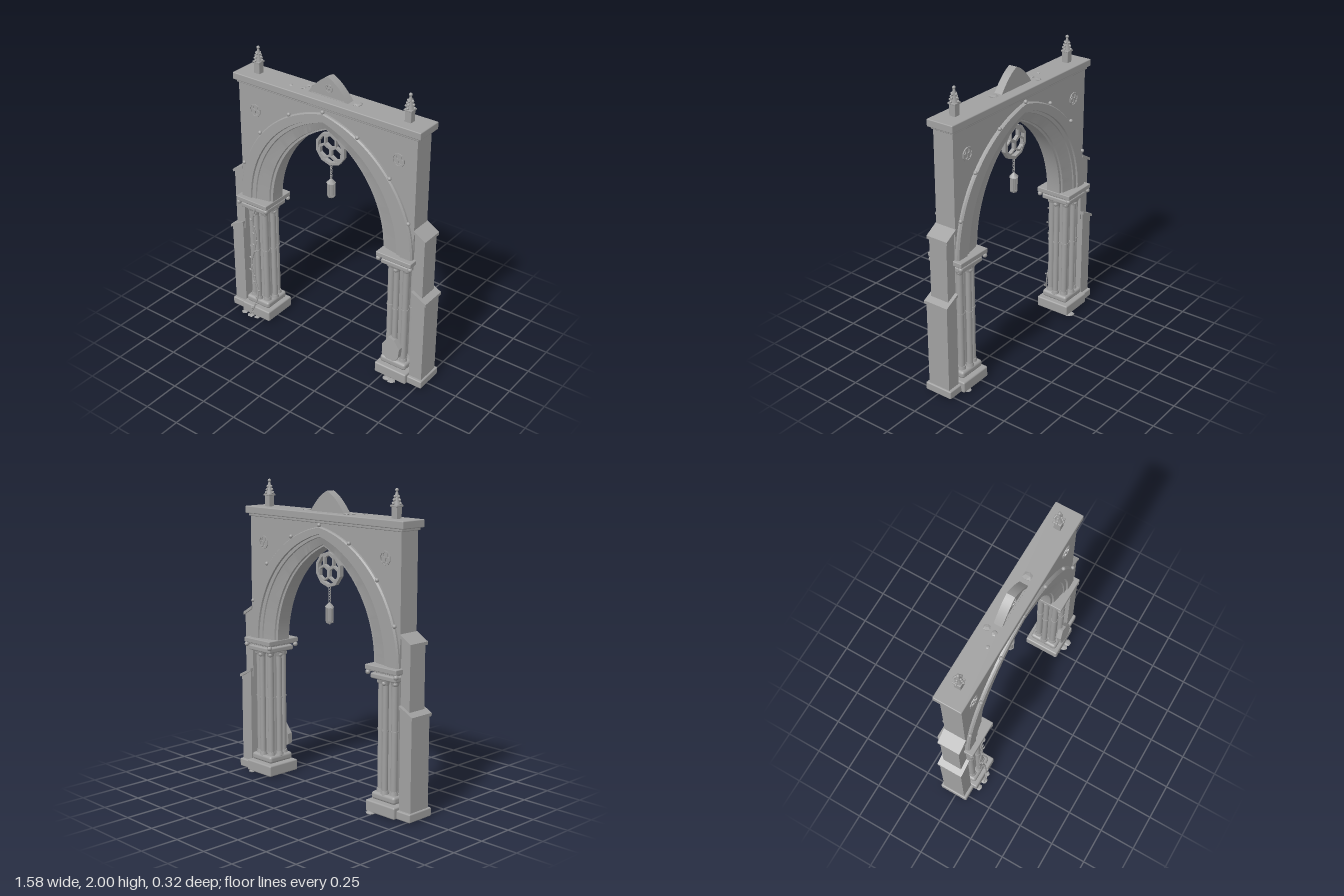
import * as THREE from 'three';
import { toCreasedNormals } from 'three/addons/utils/BufferGeometryUtils.js';
import { RoundedBoxGeometry } from 'three/addons/geometries/RoundedBoxGeometry.js';

const stone = new THREE.MeshStandardMaterial({ color: 0xa0a0a0 });
stone.name = 'stone grey';
const CZ = -0.013; // middle plane of the wall
const SPRING = 0.935; // springing height of the arch

function add(parent, name, geo, x = 0, y = 0, z = 0) {
  const m = new THREE.Mesh(geo, stone);
  m.name = name;
  m.position.set(x, y, z);
  parent.add(m);
  return m;
}
const box = (w, h, d, r = 0.006) => new RoundedBoxGeometry(w, h, d, 2, r);
const ball = (r) => new THREE.SphereGeometry(r, 12, 8);
const cyl = (rt, rb, h, n = 20) => new THREE.CylinderGeometry(rt, rb, h, n);

// Extrusion centred on z = 0
function slab(shape, depth, crease = 0.5) {
  const g = new THREE.ExtrudeGeometry(shape, { depth, bevelEnabled: false, curveSegments: 12 });
  return toCreasedNormals(g.translate(0, 0, -depth / 2), crease);
}

// Pointed arch point: half span a, rise h, s runs from -1 (left foot) to 1 (right foot)
function archPoint(a, h, s) {
  const R = (a * a + h * h) / (2 * a), c = a - R;
  const ang = (1 - Math.abs(s)) * Math.acos(-c / R);
  return new THREE.Vector2(Math.sign(s) * (c + R * Math.cos(ang)), SPRING + R * Math.sin(ang));
}

// Moulded arch swept along both arcs, section given as [inward fraction, half depth]
function archGeometry() {
  const half = [[0, 0.085], [0.04, 0.095], [0.36, 0.095], [0.38, 0.084], [0.5, 0.084], [0.52, 0.077], [0.9, 0.06], [0.92, 0.05], [1, 0.05]];
  const section = [...half.map(([t, z]) => [t, z]), ...half.map(([t, z]) => [t, -z]).reverse()];
  const N = 28, M = section.length, pos = [], idx = [];
  for (let i = 0; i <= 2 * N; i++) {
    for (const [t, z] of section) {
      const p = archPoint(0.675 - 0.235 * t, 0.8 - 0.125 * t, i / N - 1);
      pos.push(p.x, p.y, z);
    }
  }
  for (let i = 0; i < 2 * N; i++) {
    for (let j = 0; j < M; j++) {
      const a = i * M + j, d = i * M + (j + 1) % M, b = a + M, c = d + M;
      idx.push(a, d, b, d, c, b);
    }
  }
  const g = new THREE.BufferGeometry();
  g.setAttribute('position', new THREE.Float32BufferAttribute(pos, 3));
  g.setIndex(idx);
  return toCreasedNormals(g, 0.3);
}

// Flat ring with n sides
function ring(R, r, depth, n, turn = 0) {
  const poly = (rad) => Array.from({ length: n }, (_, i) => {
    const a = turn + i * 2 * Math.PI / n;
    return new THREE.Vector2(rad * Math.cos(a), rad * Math.sin(a));
  });
  const s = new THREE.Shape(poly(R));
  s.holes.push(new THREE.Path(poly(r)));
  return slab(s, depth, 0.2);
}

// Round tracery of one outer ring and three hexagonal lobes
function rosette(name, R, depth) {
  const g = new THREE.Group();
  g.name = name;
  add(g, 'outerRing', ring(R, R * 0.83, depth, 10, Math.PI / 10));
  for (let k = 0; k < 3; k++) {
    const a = Math.PI / 2 + k * 2 * Math.PI / 3;
    add(g, 'lobe', ring(R * 0.48, R * 0.35, depth * 0.8, 6, Math.PI / 6), R * 0.45 * Math.cos(a), R * 0.45 * Math.sin(a));
  }
  return g;
}

function pier() {
  const g = new THREE.Group();
  g.name = 'pier';
  add(g, 'plinth', box(0.24, 0.076, 0.25, 0.01), 0, 0.048);
  add(g, 'baseTier', box(0.195, 0.05, 0.2, 0.018), 0, 0.115);
  add(g, 'core', cyl(0.055, 0.055, 0.72), 0, 0.5);
  for (let k = 0; k < 8; k++) {
    const a = k * Math.PI / 4, d = 0.078, r = k % 2 ? 0.021 : 0.019;
    const x = d * Math.cos(a), z = d * Math.sin(a);
    add(g, 'shaft', cyl(r, r, 0.72, 14), x, 0.49, z);
    add(g, 'shaftFoot', cyl(r + 0.003, r + 0.007, 0.022, 14), x, 0.15, z);
    add(g, 'shaftBand', cyl(r + 0.003, r + 0.003, 0.009, 14), x, 0.54, z);
    add(g, 'shaftCapital', cyl(r + 0.009, r, 0.035, 14), x, 0.842, z);
    add(g, 'leafBud', ball(0.016), x * 1.18, 0.838, z * 1.18);
  }
  add(g, 'capital', box(0.208, 0.034, 0.215, 0.009), 0, 0.874);
  add(g, 'impost', box(0.256, 0.032, 0.258, 0.005), 0, 0.928);
  add(g, 'impostNeck', box(0.235, 0.012, 0.238, 0.004), 0, 0.909);
  for (const sx of [-1, 1]) for (const sz of [-1, 1]) add(g, 'cornerBud', ball(0.016), sx * 0.115, 0.896, sz * 0.115);
  return g;
}

// Stepped side buttress for the +x side, mirrored by turning it about y
function buttress() {
  const g = new THREE.Group();
  g.name = 'buttress';
  const stage = (x0, x1, y0, yOut, yIn, d) =>
    slab(new THREE.Shape([[x0, y0], [x1, y0], [x1, yOut], [x0, yIn]].map((p) => new THREE.Vector2(...p))), d, 0.2);
  const cap = (x0, x1, yIn, yOut, d) => {
    const s = new THREE.Shape([[x0, yIn - 0.02], [x1, yOut - 0.02], [x1, yOut], [x0, yIn]].map((p) => new THREE.Vector2(...p)));
    return slab(s, d, 0.2);
  };
  add(g, 'foot', box(0.19, 0.055, 0.2, 0.008), 0.695, 0.038);
  add(g, 'lowerStage', stage(0.685, 0.778, 0.06, 0.66, 0.71, 0.16));
  add(g, 'lowerCap', cap(0.68, 0.788, 0.72, 0.665, 0.178));
  add(g, 'upperStage', stage(0.676, 0.748, 0.66, 1.09, 1.135, 0.132));
  add(g, 'upperCap', cap(0.67, 0.757, 1.152, 1.1, 0.155));
  return g;
}

function finial() {
  const g = new THREE.Group();
  g.name = 'finial';
  add(g, 'finialShaft', box(0.044, 0.08, 0.044, 0.003), 0, 1.855);
  add(g, 'finialCollar', box(0.056, 0.012, 0.056, 0.003), 0, 1.895);
  add(g, 'spire', cyl(0.006, 0.026, 0.08, 8), 0, 1.94);
  for (let row = 0; row < 3; row++) for (let k = 0; k < 4; k++) {
    const a = k * Math.PI / 2, d = 0.03 - row * 0.007;
    add(g, 'crocket', ball(0.008), d * Math.cos(a), 1.91 + row * 0.02, d * Math.sin(a));
  }
  add(g, 'finialBall', ball(0.011), 0, 1.988);
  return g;
}

export function createModel() {
  const model = new THREE.Group();
  model.name = 'gothicArchway';
  const body = new THREE.Group();
  body.name = 'archBody';
  body.position.z = CZ;
  model.add(body);

  // Spandrel wall cut by the pointed opening
  const wall = new THREE.Shape();
  wall.moveTo(-0.672, SPRING);
  for (let i = 0; i <= 48; i++) {
    const p = archPoint(0.61, 0.755, i / 24 - 1);
    wall.lineTo(p.x, p.y);
  }
  wall.lineTo(0.672, SPRING).lineTo(0.672, 1.765).lineTo(-0.672, 1.765);
  add(body, 'spandrelWall', slab(wall, 0.144));
  add(body, 'mouldedArch', archGeometry());
  add(body, 'corniceUnder', box(1.365, 0.022, 0.165, 0.005), 0, 1.766);
  add(body, 'cornice', box(1.405, 0.048, 0.19, 0.006), 0, 1.796);

  // Mirrored supports and finials
  for (const s of [-1, 1]) {
    const p = pier(), f = finial(), b = buttress();
    p.position.x = f.position.x = s * 0.565;
    b.rotation.y = s < 0 ? Math.PI : 0;
    body.add(p, f, b);
  }

  // Buds along the arch and spandrel rosettes on both faces
  for (const sz of [-1, 1]) {
    for (const s of [-0.77, -0.51, -0.24, 0.001, 0.24, 0.51, 0.77]) {
      const p = archPoint(0.682, 0.81, s);
      add(body, 'archBud', ball(0.013), p.x, p.y, sz * 0.09);
    }
    for (const sx of [-1, 1]) {
      const r = rosette('spandrelRosette', 0.045, 0.009);
      r.position.set(sx * 0.545, 1.59, sz * 0.074);
      body.add(r);
    }
  }

  // Small gable on top
  const gable = (k) => new THREE.Shape().moveTo(-0.15 * k, 0).quadraticCurveTo(-0.075 * k, 0.105 * k, 0, 0.135 * k)
    .quadraticCurveTo(0.075 * k, 0.105 * k, 0.15 * k, 0);
  add(body, 'gable', slab(gable(1), 0.045), 0, 1.818, 0);
  const rim = gable(1);
  rim.holes.push(new THREE.Path(gable(0.84).getPoints(12).map((p) => p.add(new THREE.Vector2(0, 0.004)))));
  add(body, 'gableRim', slab(rim, 0.012), 0, 1.818, 0.027);
  const badge = rosette('gableRosette', 0.028, 0.009);
  badge.position.set(0, 1.875, 0.025);
  body.add(badge);

  // Hanging rose, chain and lantern
  const rose = rosette('hangingRose', 0.113, 0.03);
  rose.position.set(0, 1.46, 0);
  body.add(rose);
  add(body, 'roseHanger', cyl(0.008, 0.008, 0.06, 8), 0, 1.59);
  for (let i = 0; i < 6; i++) {
    const link = add(body, 'chainLink', new THREE.TorusGeometry(0.008, 0.0025, 6, 12), 0, 1.342 - i * 0.0165);
    link.scale.y = 1.3;
    link.rotation.y = i % 2 ? Math.PI / 2 : 0;
  }
  add(body, 'lanternRoof', cyl(0.006, 0.032, 0.028, 6), 0, 1.234);
  add(body, 'lanternGlass', cyl(0.022, 0.022, 0.085, 6), 0, 1.17);
  add(body, 'lanternFloor', cyl(0.027, 0.024, 0.012, 6), 0, 1.124);
  add(body, 'lanternDrop', ball(0.007), 0, 1.113);
  for (let k = 0; k < 6; k++) {
    const a = k * Math.PI / 3;
    add(body, 'lanternBar', cyl(0.003, 0.003, 0.09, 6), 0.024 * Math.sin(a), 1.173, 0.024 * Math.cos(a));
  }

  // Climbing vine with leaves on the front of the right pier
  const vine = new THREE.CatmullRomCurve3([[-0.61, 0.01, 0.125], [-0.57, 0.09, 0.12], [-0.545, 0.2, 0.1], [-0.58, 0.33, 0.095],
    [-0.6, 0.42, 0.095], [-0.565, 0.56, 0.095], [-0.55, 0.66, 0.095], [-0.57, 0.78, 0.1], [-0.535, 0.89, 0.11]]
    .map((p) => new THREE.Vector3(...p)));
  add(model, 'vineStem', new THREE.TubeGeometry(vine, 60, 0.0055, 6));
  for (let i = 1; i < 18; i++) {
    const p = vine.getPoint(i / 18);
    const leaf = add(model, 'vineLeaf', ball(0.011), p.x + (i % 2 ? 0.012 : -0.012), p.y, p.z + 0.006);
    leaf.scale.set(1, 0.6, 0.4);
    leaf.rotation.z = i % 2 ? 0.6 : -0.6;
  }

  // Leaning broken slab on the left pier
  const shard = new THREE.Shape([[-0.065, 0.02], [-0.06, -0.05], [-0.02, -0.075], [0.035, -0.07], [0.062, -0.04], [0.065, 0.025], [0.02, 0.075], [-0.025, 0.085]]
    .map((p) => new THREE.Vector2(...p)));
  add(model, 'brokenSlab', slab(shard, 0.035, 0.1), 0.565, 0.24, 0.095).rotation.x = -0.12;

  // Loose rubble at the feet and on the cornice: x, y, z, radius
  const rubble = [[-0.66, 0.01, 0.115, 0.025], [-0.6, 0.01, 0.12, 0.028], [-0.55, 0.01, 0.115, 0.022], [-0.49, 0.01, -0.14, 0.032],
    [-0.47, 0.01, -0.13, 0.02], [0.55, 0.01, 0.12, 0.03], [0.59, 0.01, 0.125, 0.03], [0.64, 0.01, -0.13, 0.026],
    [-0.19, 1.822, -0.055, 0.024], [-0.2, 1.822, 0, 0.02], [-0.29, 1.822, 0.01, 0.014], [0.2, 1.822, -0.012, 0.032]];
  rubble.forEach(([x, y, z, r], i) => {
    const geo = new THREE.IcosahedronGeometry(r, 0).rotateX(i).rotateY(i * 2).scale(1, 0.3, 1);
    add(model, 'rubble', toCreasedNormals(geo, 0.1), x, y, z);
  });
  return model;
}
